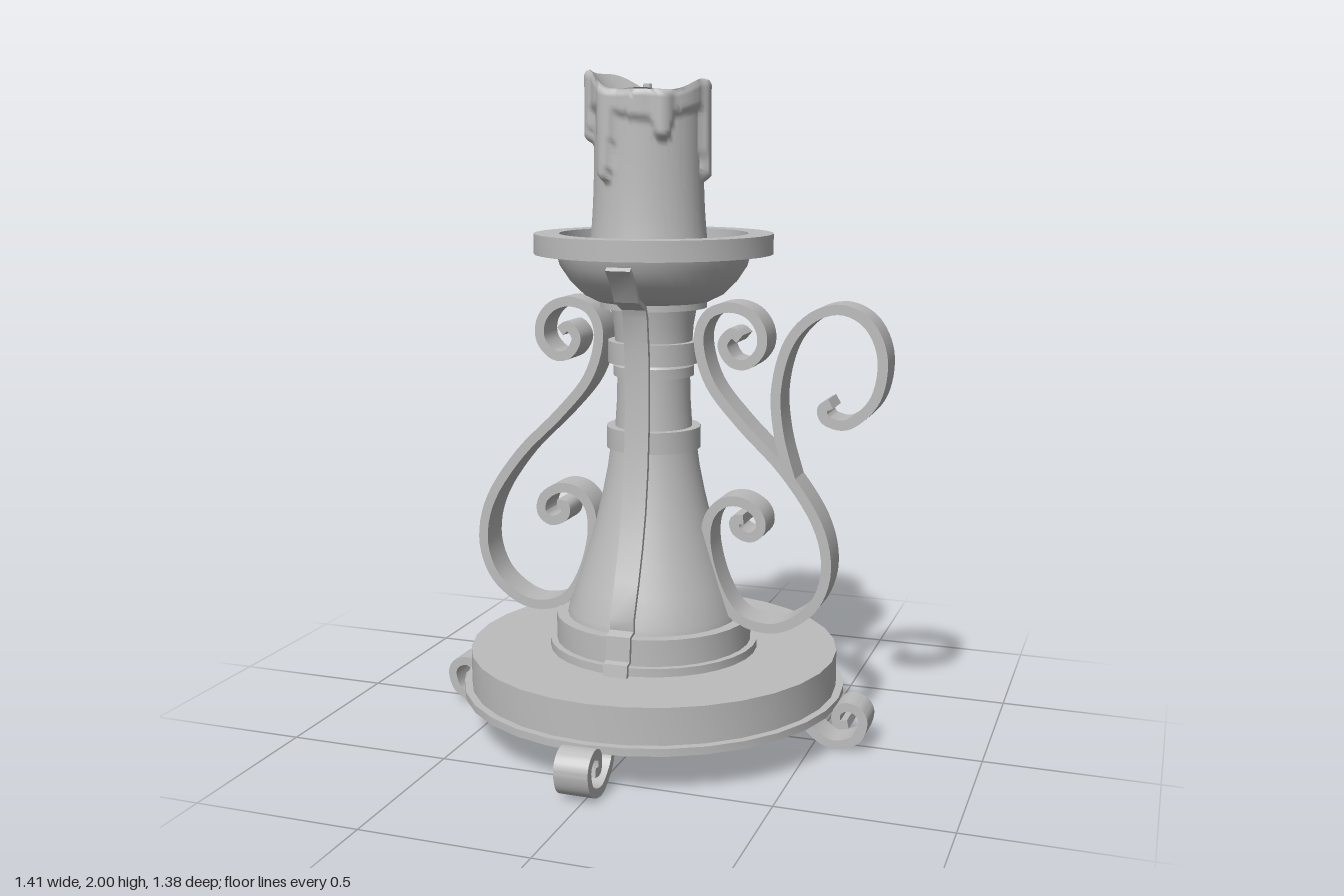
import * as THREE from 'three';
import { toCreasedNormals } from 'three/addons/utils/BufferGeometryUtils.js';

const grey = new THREE.MeshStandardMaterial({ color: 0xbcbcbc });
grey.name = 'plain grey';

const vec = (pts) => pts.map(([x, y]) => new THREE.Vector2(x, y));
const spline = (pts, n) => new THREE.SplineCurve(vec(pts)).getPoints(n);

function part(name, geometry, crease = 0.6) {
  const mesh = new THREE.Mesh(toCreasedNormals(geometry, crease), grey);
  mesh.name = name;
  return mesh;
}

const lathe = (name, pts) => part(name, new THREE.LatheGeometry(vec(pts), 32));

// flat bar of metal that follows a path in the xy plane, swung round the axis
function bar(name, path, thickness, width, turn = 0) {
  const left = [], right = [];
  path.forEach((p, i) => {
    const a = path[Math.max(i - 1, 0)], b = path[Math.min(i + 1, path.length - 1)];
    const n = new THREE.Vector2(a.y - b.y, b.x - a.x).normalize().multiplyScalar(thickness / 2);
    left.push(p.clone().add(n));
    right.unshift(p.clone().sub(n));
  });
  const geometry = new THREE.ExtrudeGeometry(new THREE.Shape([...left, ...right]), { depth: width, bevelEnabled: false });
  geometry.translate(0, 0, -width / 2);
  const mesh = part(name, geometry);
  mesh.rotation.y = turn;
  return mesh;
}

// wax drips: angle from +x towards +z, height of the lower end
const DRIPS = [[0, 1.67], [1.0, 1.79], [2.03, 1.67], [2.75, 1.78], [3.5, 1.7], [4.05, 1.8], [4.65, 1.67], [5.65, 1.77]];

function candleGeometry() {
  const outer = 48, segments = 128;
  // inside of the melted top: share of rim height, radius
  const bowl = [[1, 0.172], [0.75, 0.152], [0.4, 0.13], [0.1, 0.112], [0, 0.1], [0, 0]];
  const rows = outer + 1 + bowl.length;
  const blank = Array.from({ length: rows }, (_, i) => new THREE.Vector2(0.1, i));
  const geometry = new THREE.LatheGeometry(blank, segments);
  const pos = geometry.attributes.position;
  for (let k = 0; k < pos.count; k++) {
    const row = k % rows;
    const a = (Math.floor(k / rows) % segments) / segments * Math.PI * 2;
    const ang = Math.PI / 2 - a;
    const top = 1.957 - 0.018 * Math.cos(ang) + 0.022 * Math.cos(2 * ang) + 0.008 * Math.sin(5 * ang + 1);
    let r, y;
    if (row <= outer) {
      const t = row / outer;
      y = 1.465 + (top - 1.465) * t;
      let edge = 1.86 + 0.015 * Math.sin(3 * ang + 1), bulge = 0;
      for (const [da, end] of DRIPS) {
        const diff = ang - da;
        const d = Math.abs(Math.atan2(Math.sin(diff), Math.cos(diff))) / 0.19;
        if (d < 1) {
          edge = Math.min(edge, end + (edge - end) * d ** 4);
          bulge = Math.max(bulge, 0.016 * (1 - d * d));
        }
      }
      const coat = THREE.MathUtils.smoothstep(y, edge, edge + 0.025);
      r = 0.164 + 0.018 * (1 - t) ** 4 + 0.003 * Math.sin(4 * ang) + coat * (0.012 + bulge);
      if (row === outer) r -= 0.006;
    } else {
      const [h, radius] = bowl[row - outer - 1];
      r = radius;
      y = 1.875 + (top + 0.004 - 1.875) * h;
    }
    pos.setXYZ(k, r * Math.sin(a), y, r * Math.cos(a));
  }
  return geometry;
}

export function createModel() {
  const model = new THREE.Group();
  model.name = 'candlestick';
  const stand = new THREE.Group();
  stand.name = 'stand';
  stand.position.x = -0.02;
  model.add(stand);

  // round base
  stand.add(lathe('base', [[0, 0.122], [0.588, 0.122], [0.588, 0.145], [0.565, 0.145], [0.565, 0.255], [0, 0.255]]));

  // stepped foot, flared column and its rings
  stand.add(lathe('column', [
    [0.32, 0.25], [0.32, 0.28], [0.3, 0.28], [0.3, 0.36], [0.265, 0.36], [0.262, 0.38],
    [0.235, 0.46], [0.207, 0.55], [0.18, 0.64], [0.156, 0.74], [0.14, 0.82], [0.132, 0.88],
    [0.143, 0.88], [0.143, 0.945], [0.117, 0.945], [0.112, 1.02], [0.11, 1.1],
    [0.122, 1.1], [0.122, 1.13], [0.115, 1.14], [0.138, 1.14], [0.138, 1.205], [0.117, 1.205],
    [0.12, 1.25], [0.13, 1.305], [0.16, 1.305], [0.16, 1.33],
  ]));

  // drip dish
  stand.add(lathe('dish', [
    [0, 1.325], [0.17, 1.325], [0.21, 1.345], [0.25, 1.385], [0.28, 1.43], [0.29, 1.465],
    [0.357, 1.465], [0.357, 1.525], [0.282, 1.525], [0.278, 1.47], [0, 1.47],
  ]));

  // thin straps hugging the front and back of the column
  const strap = vec([
    [0.338, 0.256], [0.334, 0.29], [0.313, 0.296], [0.309, 0.368], [0.278, 0.376], [0.28, 0.41],
    [0.24, 0.51], [0.205, 0.61], [0.178, 0.71], [0.158, 0.83], [0.148, 0.94], [0.144, 1.06],
    [0.147, 1.18], [0.16, 1.29], [0.172, 1.318], [0.232, 1.345], [0.265, 1.4], [0.302, 1.44],
  ]);
  stand.add(bar('frontStrap', strap, 0.014, 0.074, -Math.PI / 2));
  stand.add(bar('backStrap', strap, 0.014, 0.074, Math.PI / 2));

  // side scrolls
  const scroll = spline([
    [0.284, 1.225], [0.257, 1.241], [0.231, 1.204], [0.257, 1.157], [0.305, 1.151], [0.347, 1.194],
    [0.347, 1.252], [0.31, 1.3], [0.247, 1.316], [0.183, 1.289], [0.158, 1.21], [0.194, 1.087],
    [0.289, 0.971], [0.422, 0.838], [0.523, 0.69], [0.554, 0.557], [0.523, 0.446], [0.448, 0.377],
    [0.369, 0.355], [0.279, 0.382], [0.22, 0.467], [0.186, 0.584], [0.19, 0.674], [0.231, 0.727],
    [0.289, 0.737], [0.342, 0.706], [0.353, 0.658], [0.321, 0.631], [0.279, 0.647], [0.273, 0.679], [0.3, 0.684],
  ], 150);
  stand.add(bar('leftScroll', scroll, 0.03, 0.104));
  stand.add(bar('rightScroll', scroll, 0.03, 0.104, Math.PI));

  // carrying handle on the left scroll
  const hook = spline([
    [0.443, 0.812], [0.406, 0.944], [0.395, 1.077], [0.427, 1.21], [0.496, 1.294], [0.586, 1.321],
    [0.666, 1.279], [0.706, 1.183], [0.687, 1.066], [0.613, 0.992], [0.549, 0.997], [0.533, 1.03], [0.558, 1.048],
  ], 80);
  stand.add(bar('handle', hook, 0.03, 0.104));

  // four curled feet
  const curl = spline([
    [0.485, 0.127], [0.505, 0.064], [0.576, 0.017], [0.65, 0.037], [0.674, 0.09], [0.66, 0.125],
    [0.623, 0.138], [0.594, 0.118], [0.597, 0.082], [0.629, 0.085],
  ], 60);
  for (let i = 0; i < 4; i++) stand.add(bar('foot' + (i + 1), curl, 0.027, 0.102, i * Math.PI / 2));

  // candle with wick
  const candle = new THREE.Group();
  candle.name = 'candle';
  candle.position.x = -0.035;
  candle.add(part('wax', candleGeometry(), 1.2));
  const wick = part('wick', new THREE.CylinderGeometry(0.013, 0.022, 0.09, 8));
  wick.position.set(-0.004, 1.915, 0);
  candle.add(wick);
  model.add(candle);

  return model;
}
